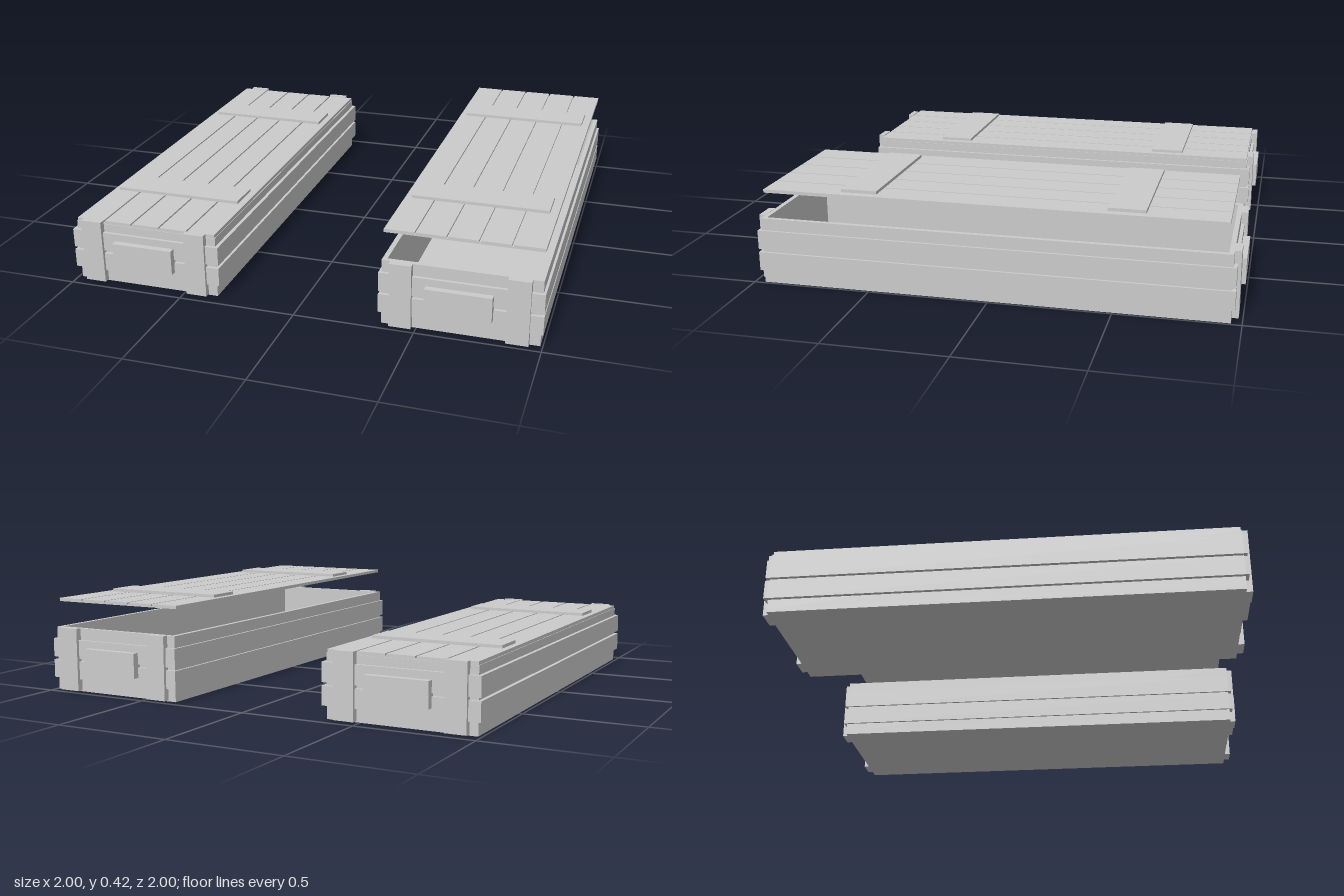
import * as THREE from 'three';

const material = new THREE.MeshStandardMaterial({ color: 0xcccccc, flatShading: true });

// Box given by its min and max corners
function box(parent, name, x0, x1, y0, y1, z0, z1) {
  const mesh = new THREE.Mesh(new THREE.BoxGeometry(x1 - x0, y1 - y0, z1 - z0), material);
  mesh.position.set((x0 + x1) / 2, (y0 + y1) / 2, (z0 + z1) / 2);
  mesh.name = name;
  parent.add(mesh);
}

// Hollow crate body: w and l are the half sizes of the core walls
function createCrate(name, w, l, wallTop, proudX) {
  const crate = new THREE.Group();
  crate.name = name;
  const t = 0.02;
  const plankRows = [[0.055, 0.134], [0.147, 0.228]];
  box(crate, 'floor', -w, w, 0, 0.02, -l, l);

  for (const s of [-1, 1]) {
    const spanX = (a, b) => (s > 0 ? [a, b] : [-b, -a]);
    // Long walls and end walls
    box(crate, 'sideWall', ...spanX(w - t, w), 0.005, wallTop, -l, l);
    box(crate, 'endWall', -w + t, w - t, 0.005, wallTop, ...spanX(l - t, l));

    // Raised planks around the body, with a narrow gap between rows
    for (const [y0, y1] of plankRows) {
      box(crate, 'sidePlank', ...spanX(w, w + proudX), y0, y1, -l, l);
      box(crate, 'endPlank', -w - proudX, w + proudX, y0, y1, ...spanX(l, l + 0.014));
    }

    // Upright cleats and the grip block on each end
    for (const x of [-0.235, 0.23]) {
      box(crate, 'endCleat', x - 0.045, x + 0.045, 0.005, 0.279, ...spanX(l, l + 0.027));
    }
    box(crate, 'gripBlock', -0.135, 0.132, 0.09, 0.197, ...spanX(l, l + 0.042));
  }
  return crate;
}

// Five-board lid with two cross battens, resting on y = 0
function createLid(w, l) {
  const lid = new THREE.Group();
  lid.name = 'lid';
  box(lid, 'lidBacking', -w, w, 0, 0.006, -l, l);
  const pitch = (2 * w) / 5;
  const gap = 0.007;
  for (let i = 0; i < 5; i++) {
    const x = -w + i * pitch;
    box(lid, 'lidBoard', x + (i > 0 ? gap / 2 : 0), x + pitch - (i < 4 ? gap / 2 : 0), 0.006, 0.014, -l, l);
  }
  for (const z of [-0.545, 0.54]) {
    box(lid, 'lidBatten', -0.285, 0.28, 0.014, 0.027, z - 0.075, z + 0.075);
  }
  return lid;
}

export function createModel() {
  const model = new THREE.Group();
  model.name = 'crates';

  // Closed crate
  const closed = createCrate('closedCrate', 0.315, 0.939, 0.263, 0.015);
  closed.position.x = -0.67;
  const closedLid = createLid(0.312, 0.936);
  closedLid.position.y = 0.263;
  closed.add(closedLid);

  // Open crate with its lid raised above it
  const open = createCrate('openCrate', 0.317, 0.957, 0.278, 0.01);
  open.position.x = 0.673;
  const openLid = createLid(0.314, 0.938);
  openLid.position.y = 0.389;
  open.add(openLid);

  model.add(closed, open);
  return model;
}
